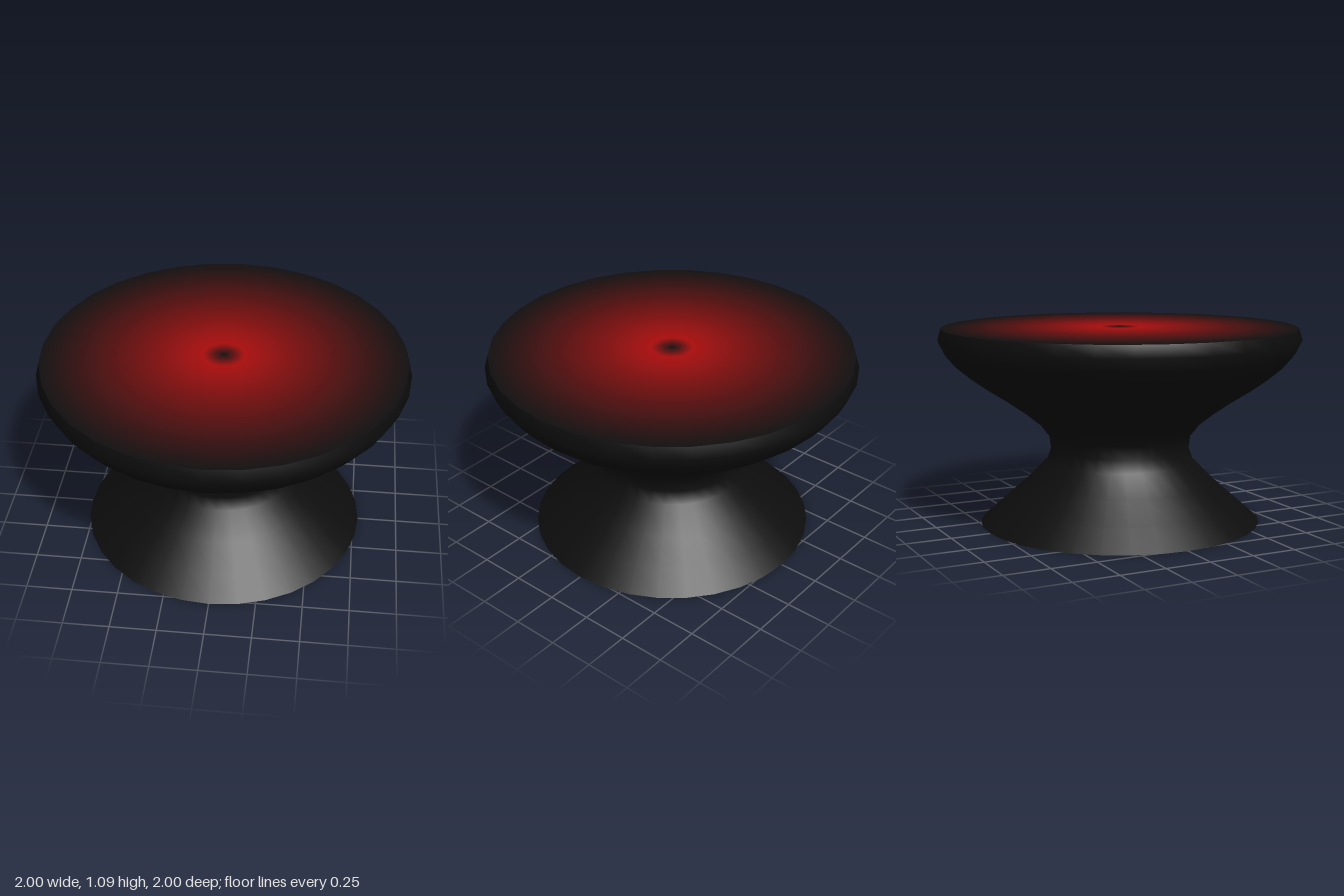
import * as THREE from 'three';

const SIDES = 32;
const TOP = 1.085;
const RIM = 0.98;

const paint = (color) => new THREE.MeshStandardMaterial({ color });

function lathe(name, points, material) {
  const profile = points.map(([r, y]) => new THREE.Vector2(r, y));
  const mesh = new THREE.Mesh(new THREE.LatheGeometry(profile, SIDES), material);
  mesh.name = name;
  return mesh;
}

export function createModel() {
  const group = new THREE.Group();
  group.name = 'pedestalKnob';
  const black = paint(0x0d0d0d);

  // Waisted body: flared foot, narrow neck, wide bowl and slightly tapered rim
  group.add(lathe('body', [
    [0.78, 0], [0.655, 0.11], [0.53, 0.22], [0.41, 0.34], [0.385, 0.41], [0.395, 0.48],
    [0.45, 0.55], [0.53, 0.615], [0.63, 0.685], [0.74, 0.755], [0.825, 0.815],
    [0.91, 0.885], [0.965, 0.95], [1, 1.02], [RIM, TOP],
  ], black));

  // Flat underside
  group.add(lathe('base', [[0, 0], [0.78, 0]], black));

  // Flat top: concentric bands, dark centre, red near it, fading to the rim
  const face = new THREE.Group();
  face.name = 'topFace';
  const dark = new THREE.Color(0x0e0e0e);
  const red = new THREE.Color(0xaa0c0c);
  const shade = (t) => {
    const a = dark.getRGB({}, THREE.SRGBColorSpace);
    const b = red.getRGB({}, THREE.SRGBColorSpace);
    const mix = (k) => a[k] + (b[k] - a[k]) * t;
    return new THREE.Color().setRGB(mix('r'), mix('g'), mix('b'), THREE.SRGBColorSpace);
  };
  const bands = (name, from, to, count, strength) => {
    for (let i = 0; i < count; i++) {
      const inner = from + (to - from) * i / count;
      const outer = from + (to - from) * (i + 1) / count;
      const t = strength((i + 0.5) / count);
      face.add(lathe(name + (i + 1), [[outer, TOP], [inner, TOP]], paint(shade(t))));
    }
  };
  bands('centreBand', 0, 0.11, 8, (s) => s);
  bands('redBand', 0.11, RIM, 40, (s) => 1 - s);
  group.add(face);

  return group;
}
